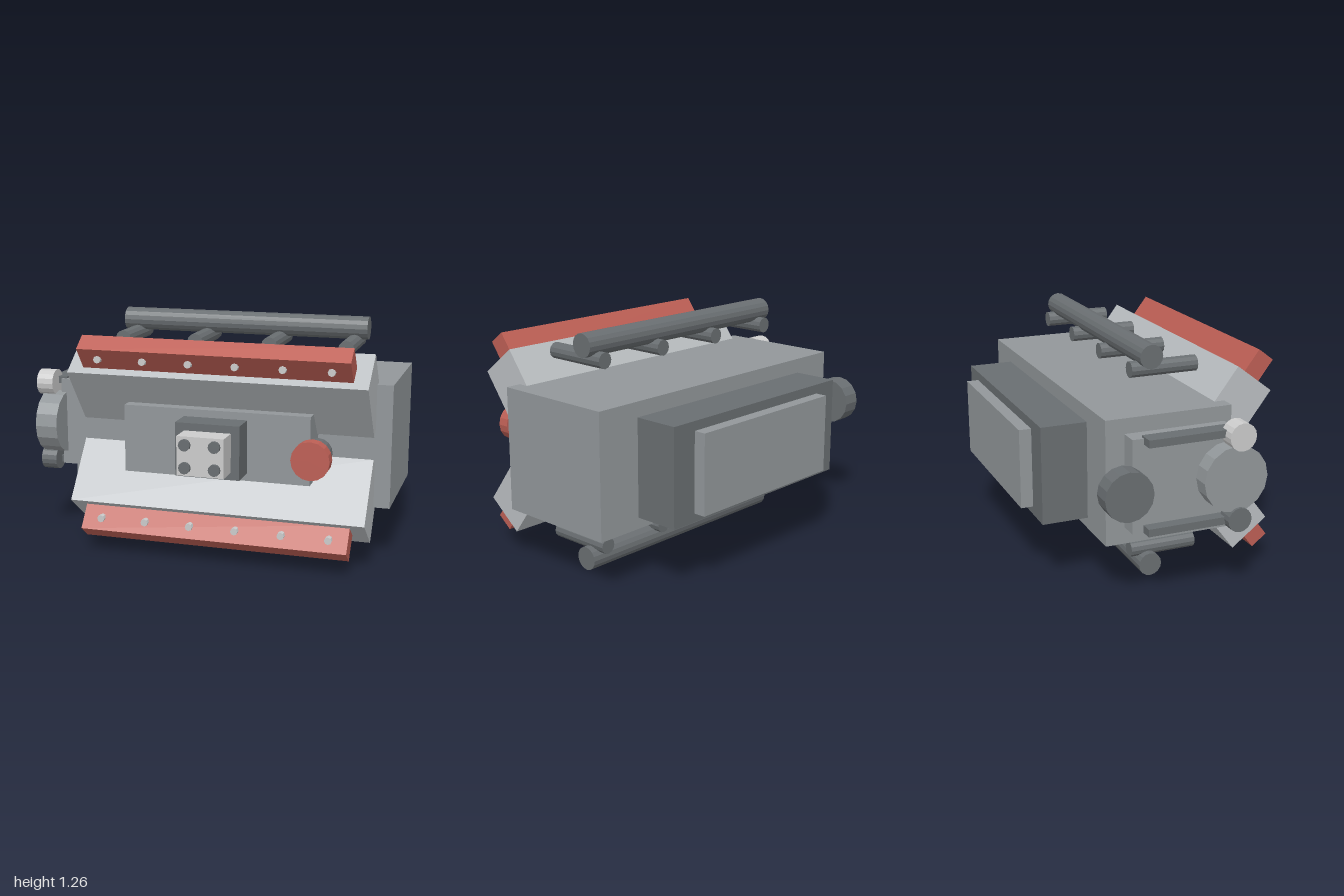
import * as THREE from 'three';

const MID = 0.63; // height of the engine's mirror plane
const mat = (color) => new THREE.MeshStandardMaterial({ color, flatShading: true });

export function createModel() {
  const engine = new THREE.Group();
  engine.name = 'engine';
  const mid = mat(0x92979a), dark = mat(0x696e71), head = mat(0xbabec1);
  const light = mat(0xcccccc), red = mat(0xbd5f55);

  function add(name, geometry, material, x, y, z) {
    const mesh = new THREE.Mesh(geometry, material);
    mesh.name = name;
    mesh.position.set(x, y, z);
    engine.add(mesh);
    return mesh;
  }
  // Box given by its extents
  function box(name, material, [x0, x1], [y0, y1], [z0, z1]) {
    return add(name, new THREE.BoxGeometry(x1 - x0, y1 - y0, z1 - z0), material,
      (x0 + x1) / 2, (y0 + y1) / 2, (z0 + z1) / 2);
  }
  // Cylinder running along x or z between two coordinates
  function rod(name, material, axis, r, [a, b], u, v, sides = 16) {
    const g = new THREE.CylinderGeometry(r, r, b - a, sides);
    const m = (a + b) / 2;
    if (axis === 'x') return add(name, g.rotateZ(Math.PI / 2), material, m, u, v);
    return add(name, g.rotateX(Math.PI / 2), material, u, v, m);
  }

  // Block, sump and timing cover
  box('block', mid, [-0.78, 1], [0.3, 0.96], [-0.435, 0.25]);
  box('oilPan', dark, [-0.53, 0.745], [0.36, 0.88], [-0.68, -0.435]);
  box('oilPanPlate', mid, [-0.38, 0.6], [0.405, 0.83], [-0.745, -0.68]);
  box('timingCover', mid, [-0.88, -0.78], [0.39, 0.88], [-0.335, 0.21]);

  // Two mirrored banks: head, valve cover with bolts, exhaust
  const tilt = 0.651;
  for (const s of [1, -1]) {
    const angle = s > 0 ? tilt : Math.PI - tilt;
    add('cylinderHead', new THREE.BoxGeometry(1.615, 0.371, 0.243), head,
      0.1075, MID + s * 0.28, 0.31).rotation.x = angle;
    add('valveCover', new THREE.BoxGeometry(1.455, 0.16, 0.103), red,
      0.1075, MID + s * 0.46, 0.4825).rotation.x = angle;
    for (let i = 0; i < 6; i++) {
      rod('coverBolt', light, 'z', 0.02, [0.49, 0.55], -0.515 + i * 0.25, MID + s * 0.436, 8);
    }
    rod('exhaustPipe', dark, 'x', 0.063, [-0.59, 0.805], MID + s * 0.567, -0.106);
    for (let i = 0; i < 4; i++) {
      rod('exhaustPort', dark, 'z', 0.043, [-0.198, 0.17], -0.515 + i * 0.416, MID + s * 0.493, 12);
    }
  }

  // Intake and carburettor in the valley
  box('intakeManifold', mid, [-0.4, 0.615], [0.45, 0.815], [0.27, 0.46]);
  box('carburettorBase', dark, [-0.065, 0.28], [0.49, 0.775], [0.46, 0.605]);
  box('carburettor', light, [-0.015, 0.235], [0.53, 0.735], [0.605, 0.728]);
  for (const x of [0.03, 0.187]) {
    for (const y of [0.573, 0.692]) rod('intakeBore', dark, 'z', 0.031, [0.72, 0.745], x, y, 12);
  }

  // Distributor
  rod('distributorBody', dark, 'z', 0.075, [0.45, 0.58], 0.655, 0.632);
  rod('distributorCap', red, 'z', 0.1, [0.58, 0.645], 0.655, 0.632);

  // Pulleys and belts
  rod('crankPulley', dark, 'x', 0.128, [-1, -0.895], 0.637, -0.398);
  rod('waterPumpPulley', mid, 'x', 0.175, [-0.975, -0.85], 0.635, 0.185);
  rod('alternatorPulley', light, 'x', 0.073, [-1, -0.905], 0.86, 0.205);
  rod('idlerPulley', dark, 'x', 0.065, [-0.99, -0.9], 0.42, 0.205);
  for (const y of [0.87, 0.41]) {
    box('belt', dark, [-0.945, -0.855], [y - 0.02, y + 0.02], [-0.275, 0.19]);
  }
  return engine;
}
